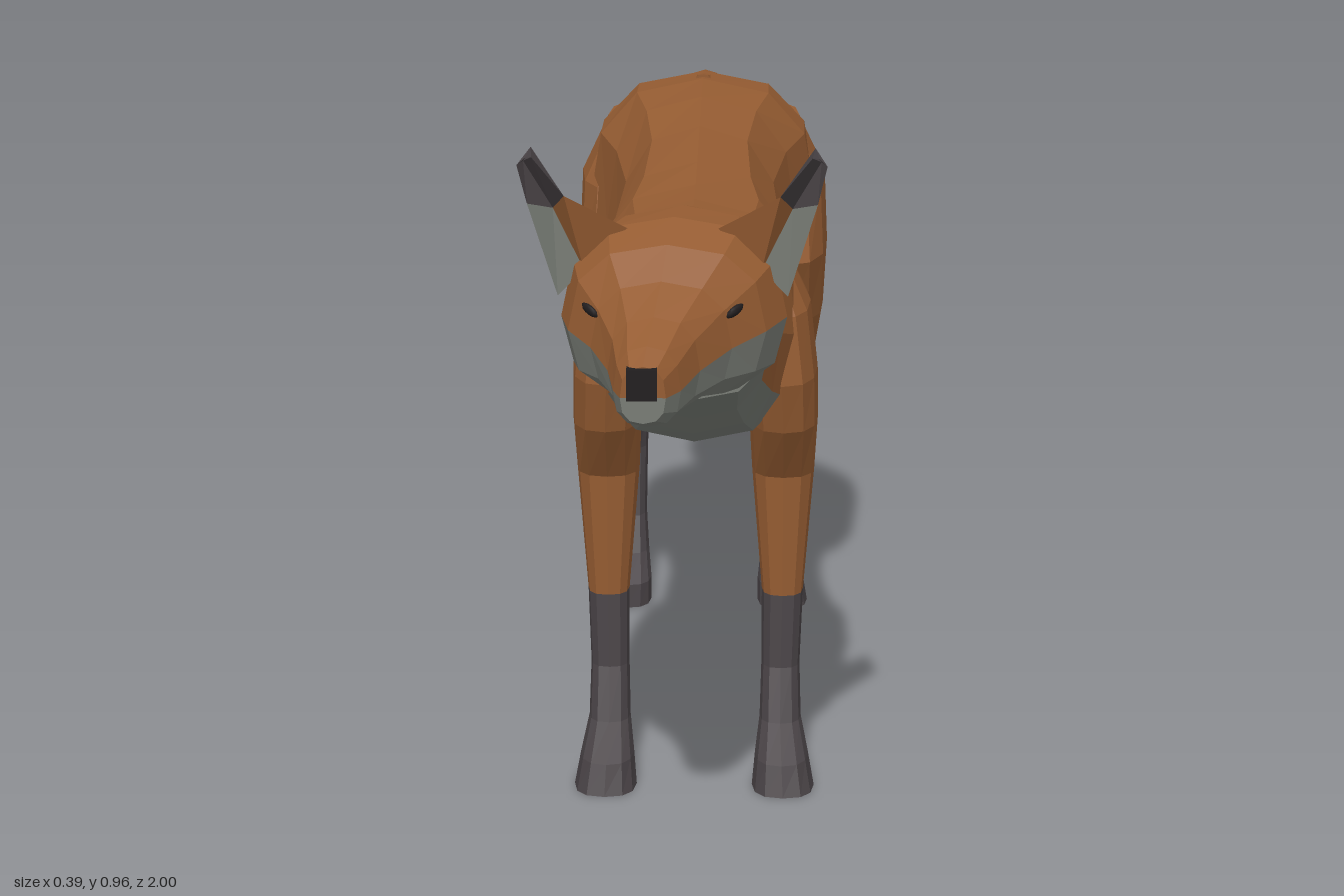
import * as THREE from 'three';

const mat = (name, color) => {
  const m = new THREE.MeshStandardMaterial({ color });
  m.name = name;
  return m;
};

// Faceted skin over closed rings of points, capped at both ends.
// paint(i, j) gives the material index of the face after ring i, side j.
function loft(name, rings, materials, paint) {
  const n = rings[0].length;
  const buckets = materials.map(() => []);
  const tris = [];
  rings.slice(0, -1).forEach((a, i) => {
    const b = rings[i + 1];
    for (let j = 0; j < n; j++) {
      const k = (j + 1) % n, m = paint(i, j);
      tris.push([m, a[j], a[k], b[k]], [m, a[j], b[k], b[j]]);
    }
  });
  const cap = (ring, i, flip) => {
    const c = ring.reduce((s, p) => s.add(p), new THREE.Vector3()).divideScalar(n);
    ring.forEach((p, j) => {
      const q = ring[(j + 1) % n];
      tris.push([paint(i, j), c, flip ? q : p, flip ? p : q]);
    });
  };
  cap(rings[0], 0, true);
  cap(rings[rings.length - 1], rings.length - 2, false);
  // Turn every face outwards, whichever way the rings run
  let volume = 0;
  const cross = new THREE.Vector3();
  for (const [, a, b, c] of tris) volume += a.dot(cross.crossVectors(b, c));
  for (const [m, a, b, c] of tris) {
    for (const p of volume < 0 ? [a, c, b] : [a, b, c]) buckets[m].push(p.x, p.y, p.z);
  }
  const geo = new THREE.BufferGeometry();
  geo.setAttribute('position', new THREE.Float32BufferAttribute(buckets.flat(), 3));
  let start = 0;
  buckets.forEach((b, m) => {
    if (b.length) geo.addGroup(start, b.length / 3, m);
    start += b.length / 3;
  });
  geo.computeVertexNormals();
  const mesh = new THREE.Mesh(geo, materials);
  mesh.name = name;
  return mesh;
}

const SIDES = 12;
const soft = (v) => Math.sign(v) * Math.abs(v) ** 0.8;
const angle = (j) => (j / SIDES) * Math.PI * 2;
const ringOf = (fn) => Array.from({ length: SIDES }, (_, j) => fn(soft(Math.cos(angle(j))), soft(Math.sin(angle(j)))));

// Upright ring at depth z, widest a little below the middle
const uprightRing = (x, z, top, bottom, half) => {
  const mid = bottom + (top - bottom) * 0.45;
  return ringOf((c, s) => new THREE.Vector3(x + half * c, mid + s * (s > 0 ? top - mid : mid - bottom), z));
};
// Level ring at height y, for the legs
const levelRing = (x, y, z, rx, rz) => ringOf((c, s) => new THREE.Vector3(x + rx * c, y, z + rz * s));

export function createModel() {
  const fox = new THREE.Group();
  fox.name = 'fox';
  const palette = [mat('russet fur', 0x955c32), mat('pale grey fur', 0x787c75), mat('dark stockings', 0x484245), mat('black', 0x211d1e)];
  const [RUSSET, PALE, DARK] = [0, 1, 2];
  const mid = (j) => Math.sin(angle(j + 0.5));
  const CX = 0.01;

  // Torso and neck: z, top, bottom, half width
  const torso = [
    [-0.36, 0.8, 0.68, 0.03], [-0.335, 0.81, 0.6, 0.1], [-0.28, 0.825, 0.55, 0.145], [-0.2, 0.845, 0.53, 0.165],
    [-0.1, 0.855, 0.51, 0.165], [0, 0.85, 0.51, 0.135], [0.12, 0.835, 0.495, 0.115], [0.28, 0.822, 0.475, 0.125],
    [0.38, 0.815, 0.475, 0.145], [0.46, 0.815, 0.485, 0.135], [0.52, 0.818, 0.515, 0.115], [0.6, 0.835, 0.56, 0.1],
    [0.7, 0.86, 0.615, 0.105],
  ];
  fox.add(loft('torso', torso.map(([z, t, b, w]) => uprightRing(CX, z, t, b, w)), palette,
    (i, j) => (mid(j) < -0.5 ? PALE : RUSSET)));

  // Head, turned slightly to its right
  const head = [
    [0.64, 0.85, 0.63, 0.09], [0.72, 0.872, 0.635, 0.122], [0.78, 0.872, 0.645, 0.138], [0.83, 0.85, 0.655, 0.12],
    [0.87, 0.815, 0.665, 0.085], [0.92, 0.785, 0.665, 0.055], [0.965, 0.762, 0.663, 0.04], [0.992, 0.745, 0.675, 0.027],
  ];
  const headX = (z) => CX - 0.05 * (z - 0.66) / 0.34;
  fox.add(loft('head', head.map(([z, t, b, w]) => uprightRing(headX(z), z, t, b, w)), palette,
    (i, j) => (mid(j) < (i < 1 ? -0.5 : 0) ? PALE : RUSSET)));

  const nose = new THREE.Mesh(new THREE.BoxGeometry(0.036, 0.038, 0.035), palette[3]);
  nose.name = 'nose';
  nose.position.set(-0.04, 0.724, 0.9825);
  fox.add(nose);

  // Tail, running from a low ridge on the rump
  const tail = [
    [-0.12, 0.857, 0.83, 0.012], [-0.3, 0.826, 0.74, 0.03], [-0.36, 0.8, 0.63, 0.04], [-0.42, 0.765, 0.535, 0.052],
    [-0.5, 0.71, 0.46, 0.07], [-0.63, 0.625, 0.385, 0.087], [-0.78, 0.53, 0.357, 0.077], [-0.87, 0.488, 0.357, 0.055],
    [-0.94, 0.477, 0.39, 0.03], [-1, 0.478, 0.472, 0.004],
  ];
  fox.add(loft('tail', tail.map(([z, t, b, w]) => uprightRing(CX, z, t, b, w)), palette,
    (i) => (i >= 6 ? PALE : RUSSET)));

  // Legs: height, sideways offset, z, half width, half depth
  const frontLeg = [
    [0.74, 0.085, 0.38, 0.03, 0.06], [0.66, 0.105, 0.385, 0.048, 0.095], [0.57, 0.115, 0.39, 0.048, 0.1],
    [0.5, 0.118, 0.385, 0.046, 0.085], [0.42, 0.118, 0.362, 0.042, 0.052], [0.25, 0.118, 0.374, 0.028, 0.034],
    [0.15, 0.116, 0.388, 0.026, 0.031], [0.08, 0.116, 0.41, 0.028, 0.036], [0.04, 0.118, 0.446, 0.036, 0.054],
    [0, 0.12, 0.465, 0.042, 0.05],
  ];
  const hindLeg = [
    [0.78, 0.09, -0.2, 0.05, 0.09], [0.7, 0.115, -0.19, 0.063, 0.135], [0.6, 0.12, -0.175, 0.062, 0.16],
    [0.5, 0.122, -0.19, 0.055, 0.125], [0.43, 0.122, -0.215, 0.045, 0.095], [0.365, 0.118, -0.265, 0.036, 0.066],
    [0.29, 0.115, -0.378, 0.028, 0.052], [0.22, 0.115, -0.371, 0.025, 0.034], [0.12, 0.115, -0.342, 0.024, 0.036],
    [0.07, 0.115, -0.315, 0.028, 0.042], [0.035, 0.117, -0.272, 0.035, 0.045], [0, 0.12, -0.268, 0.038, 0.046],
  ];

  // Ear corners: outer, front fold, inner, back
  const ear = [
    [[0.14, 0.775, 0.79], [0.108, 0.81, 0.795], [0.055, 0.86, 0.79], [0.1, 0.82, 0.71]],
    [[0.175, 0.895, 0.81], [0.145, 0.885, 0.79], [0.13, 0.907, 0.82], [0.155, 0.9, 0.75]],
    [[0.186, 0.946, 0.825], [0.179, 0.948, 0.81], [0.168, 0.957, 0.83], [0.172, 0.957, 0.775]],
  ];

  for (const side of [1, -1]) {
    const label = side > 0 ? 'left' : 'right';
    const legRings = (rows) => rows.map(([y, x, z, rx, rz]) => levelRing(CX + side * x, y, z, rx, rz));
    const inner = (j) => Math.cos(angle(j + 0.5)) * side < -0.2;
    fox.add(loft(label + 'FrontLeg', legRings(frontLeg), palette, (i) => (i >= 5 ? DARK : RUSSET)));
    fox.add(loft(label + 'HindLeg', legRings(hindLeg), palette,
      (i, j) => (i >= 6 ? DARK : i < 3 && inner(j) ? PALE : RUSSET)));

    const earRings = ear.map((ring) => ring.map(([x, y, z]) => new THREE.Vector3(side * x - 0.009, y, z)));
    fox.add(loft(label + 'Ear', earRings, palette, (i, j) => (i > 0 ? DARK : j === 0 ? PALE : RUSSET)));

    // Narrow eye lying on the slope of the face
    const eye = new THREE.Mesh(new THREE.SphereGeometry(1, 8, 6), palette[3]);
    eye.name = label + 'Eye';
    eye.scale.set(0.016, 0.006, 0.004);
    eye.position.set(headX(0.862) + side * 0.087, 0.777, 0.862);
    eye.rotation.set(0, side * 0.85, side * 0.3);
    fox.add(eye);
  }
  return fox;
}
